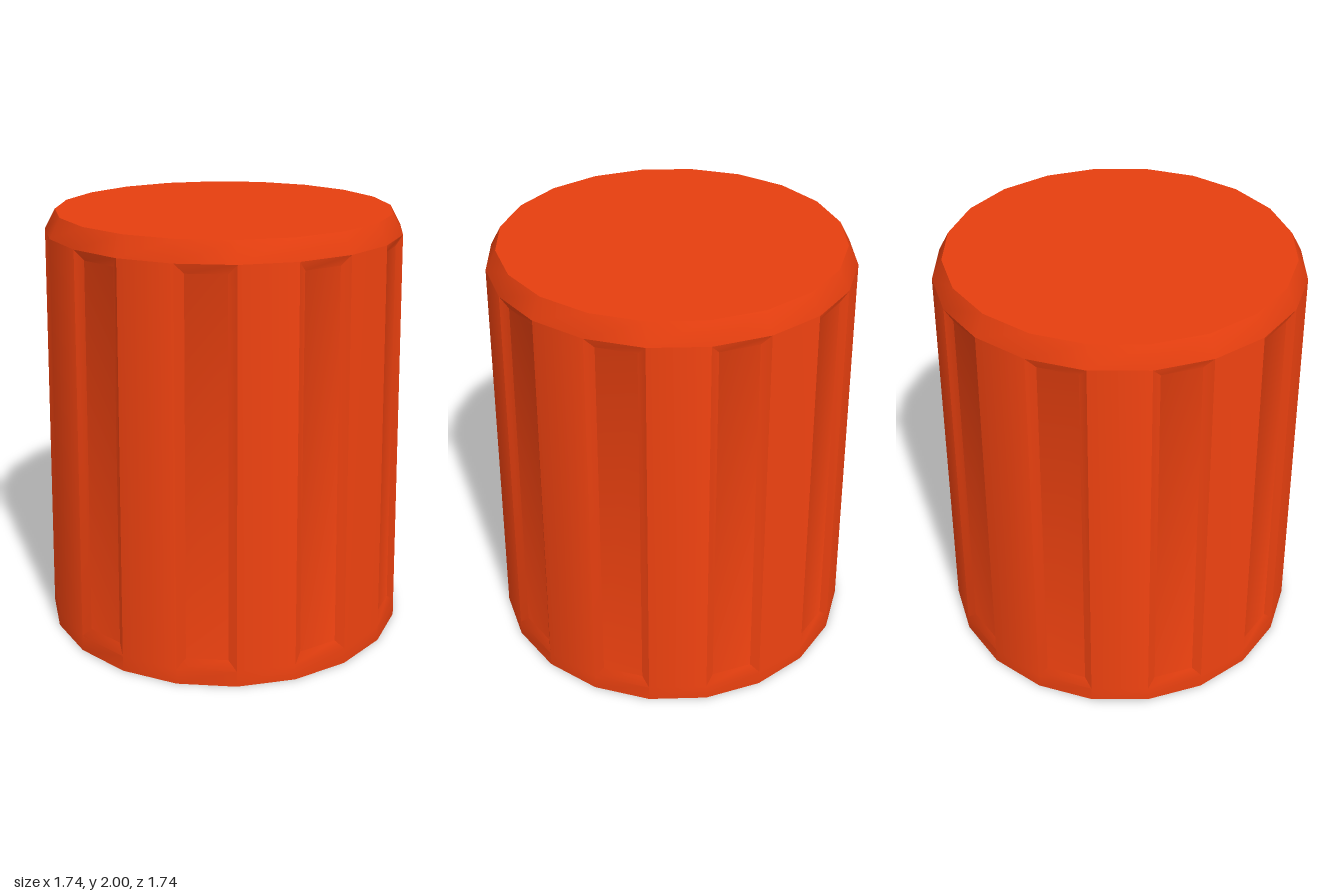
import * as THREE from 'three';
import { toCreasedNormals } from 'three/addons/utils/BufferGeometryUtils.js';

const SIDES = 20;
// Rings of the body: [height, radius]
const RINGS = [[0, 0.87], [0.075, 0.868], [1.91, 0.824], [2, 0.775]];
const INSET = 0.04; // width of the groove's sloped rim
const DEPTH = 0.022; // depth of the groove

function corner(i, [y, r]) {
  const a = (i / SIDES) * Math.PI * 2;
  return new THREE.Vector3(Math.sin(a) * r, y, Math.cos(a) * r);
}

export function createModel() {
  const positions = [];
  const tri = (...pts) => pts.forEach((p) => positions.push(p.x, p.y, p.z));
  const quad = (a, b, c, d) => { tri(a, b, c); tri(a, c, d); };

  // Panel sunk into the face, with four sloped walls around its floor
  function groove(outer) {
    const [a, b, c, d] = outer;
    const across = b.clone().sub(a).normalize();
    const up = d.clone().add(c).sub(a).sub(b).normalize();
    const inward = across.clone().cross(up).multiplyScalar(-DEPTH);
    const signs = [[1, 1], [-1, 1], [-1, -1], [1, -1]];
    const inner = outer.map((p, k) => p.clone().add(inward)
      .addScaledVector(across, signs[k][0] * INSET)
      .addScaledVector(up, signs[k][1] * INSET * 1.1));
    for (let k = 0; k < 4; k++) {
      const n = (k + 1) % 4;
      quad(outer[k], outer[n], inner[n], inner[k]);
    }
    quad(...inner);
  }

  const top = new THREE.Vector3(0, 2, 0);
  const bottom = new THREE.Vector3(0, 0, 0);
  for (let i = 0; i < SIDES; i++) {
    // Lower band, main face (every other one grooved), upper chamfer
    for (let r = 0; r < 3; r++) {
      const face = [corner(i, RINGS[r]), corner(i + 1, RINGS[r]),
        corner(i + 1, RINGS[r + 1]), corner(i, RINGS[r + 1])];
      if (r === 1 && i % 2 === 0) groove(face);
      else quad(...face);
    }
    // Flat ends
    tri(top, corner(i, RINGS[3]), corner(i + 1, RINGS[3]));
    tri(bottom, corner(i + 1, RINGS[0]), corner(i, RINGS[0]));
  }

  const geometry = new THREE.BufferGeometry();
  geometry.setAttribute('position', new THREE.Float32BufferAttribute(positions, 3));
  const body = new THREE.Mesh(
    toCreasedNormals(geometry, THREE.MathUtils.degToRad(32)),
    new THREE.MeshStandardMaterial({ color: 0xe63f0f }),
  );
  body.name = 'groovedCapBody';

  const group = new THREE.Group();
  group.name = 'groovedCap';
  group.add(body);
  return group;
}
